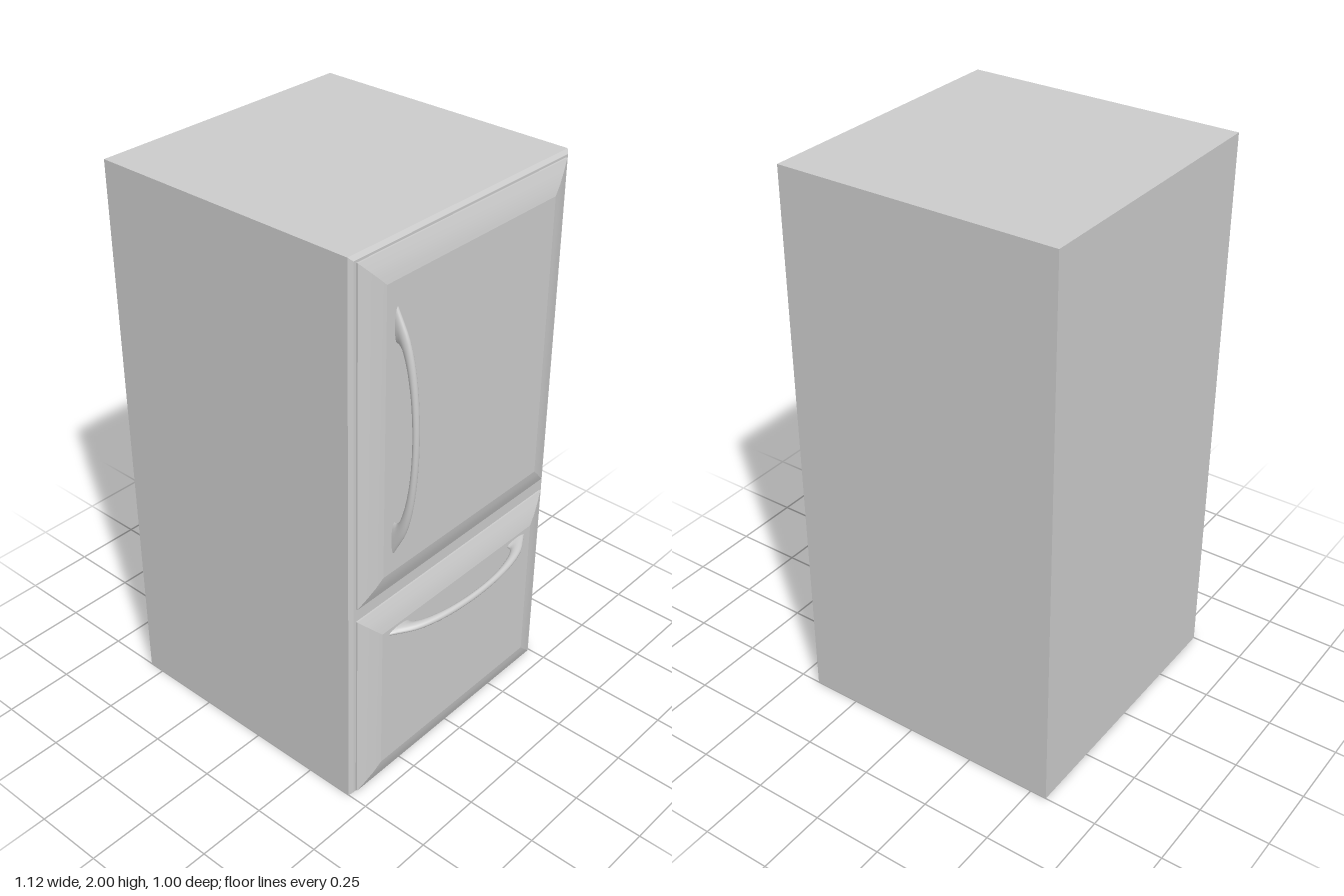
import * as THREE from 'three';

const material = new THREE.MeshStandardMaterial({ color: 0xcccccc });

function makeMesh(name, positions, index) {
  const geometry = new THREE.BufferGeometry();
  geometry.setAttribute('position', new THREE.Float32BufferAttribute(positions, 3));
  geometry.setIndex(index);
  geometry.computeVertexNormals();
  const mesh = new THREE.Mesh(geometry, material);
  mesh.name = name;
  return mesh;
}

// Rectangular block along x: profile lists [inset, x]; a repeated point makes a crease.
// Each side is its own strip, so the mitred corners stay sharp.
function panel(name, y0, y1, halfZ, profile) {
  const positions = [], index = [];
  const corners = ([inset, x]) => [
    [x, y0 + inset, -halfZ + inset], [x, y1 - inset, -halfZ + inset],
    [x, y1 - inset, halfZ - inset], [x, y0 + inset, halfZ - inset],
  ];
  const rings = profile.map(corners);
  for (let side = 0; side < 4; side++) {
    const start = positions.length / 3;
    rings.forEach((ring) => positions.push(...ring[side], ...ring[(side + 1) % 4]));
    for (let i = 0; i < rings.length - 1; i++) {
      const a = start + i * 2;
      index.push(a, a + 1, a + 2, a + 1, a + 3, a + 2);
    }
  }
  // front and back faces
  const front = positions.length / 3;
  positions.push(...rings[rings.length - 1].flat(), ...rings[0].flat());
  index.push(front, front + 1, front + 2, front, front + 2, front + 3);
  index.push(front + 4, front + 6, front + 5, front + 4, front + 7, front + 6);
  return makeMesh(name, positions, index);
}

// Bowed handle along y: oval sections between an outer and an inner curve, flared at the feet.
function handle(name, stretch) {
  const outer = [[0.465, -0.365], [0.483, -0.335], [0.515, -0.28], [0.538, -0.205], [0.552, -0.11], [0.557, 0]];
  const inner = [[0.465, -0.26], [0.485, -0.255], [0.506, -0.215], [0.525, -0.14], [0.534, -0.07], [0.537, 0]];
  const mirrored = (half) => new THREE.CatmullRomCurve3(
    [...half, ...half.slice(0, -1).reverse().map(([x, y]) => [x, -y])]
      .map(([x, y]) => new THREE.Vector3(x, y * stretch, 0)));
  const outerCurve = mirrored(outer), innerCurve = mirrored(inner);
  const steps = 30, sides = 16, halfWidth = 0.012;
  const positions = [], index = [];
  for (let i = 0; i <= steps; i++) {
    const o = outerCurve.getPoint(i / steps), n = innerCurve.getPoint(i / steps);
    for (let j = 0; j < sides; j++) {
      const angle = (j / sides) * Math.PI * 2;
      const p = n.clone().lerp(o, 0.5 + 0.5 * Math.cos(angle));
      positions.push(p.x, p.y, halfWidth * Math.sin(angle));
      if (i === steps) continue;
      const a = i * sides + j, b = i * sides + (j + 1) % sides;
      index.push(a, a + sides, b, b, a + sides, b + sides);
    }
  }
  return makeMesh(name, positions, index);
}

export function createModel() {
  const group = new THREE.Group();
  group.name = 'refrigerator';

  // cabinet with a small chamfer round the door side
  group.add(panel('cabinet', 0, 2, 0.5,
    [[0, -0.56], [0, 0.425], [0, 0.425], [0.012, 0.436], [0.012, 0.436]]));

  // pillowed doors
  const pillow = [[0, 0.43], [0, 0.442], [0, 0.442], [0.03, 0.454], [0.06, 0.464], [0.088, 0.47]];
  group.add(panel('upperDoor', 0.795, 1.98, 0.477, pillow));
  group.add(panel('freezerDrawer', 0.015, 0.745, 0.477, pillow));

  // upright door handle and level drawer handle
  const doorHandle = handle('doorHandle', 1.2);
  doorHandle.position.set(0, 1.38, 0.342);
  const drawerHandle = handle('drawerHandle', 1);
  drawerHandle.rotation.x = Math.PI / 2;
  drawerHandle.position.y = 0.635;
  group.add(doorHandle, drawerHandle);

  return group;
}
